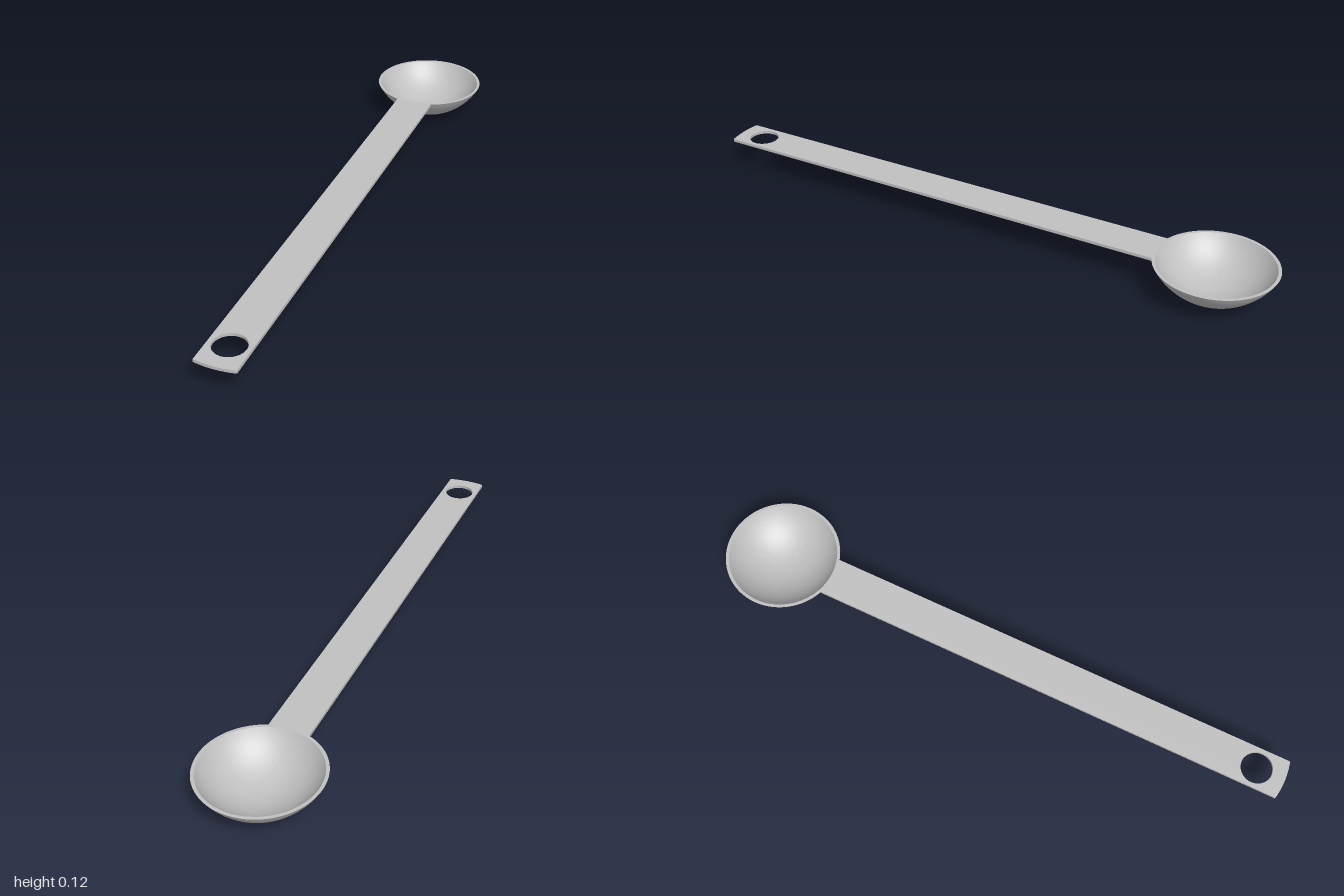
import * as THREE from 'three';
import { toCreasedNormals } from 'three/addons/utils/BufferGeometryUtils.js';

const RIM_Y = 0.115, RIM_R = 0.193, WALL = 0.009;
const BOWL_Z = -1 + RIM_R;
const SPHERE_R = (RIM_R ** 2 + RIM_Y ** 2) / (2 * RIM_Y); // spherical cap through the rim

// Profile of a spherical cap from the bottom up to rim height
function capProfile(radius, steps) {
  const end = Math.acos((SPHERE_R - RIM_Y) / radius);
  return Array.from({ length: steps + 1 }, (_, i) => {
    const a = (end * i) / steps;
    return new THREE.Vector2(radius * Math.sin(a), SPHERE_R - radius * Math.cos(a));
  });
}

export function createModel() {
  const group = new THREE.Group();
  group.name = 'measuringSpoon';
  const steel = new THREE.MeshStandardMaterial({ color: 0xc0c0c0 });
  steel.name = 'steelGrey';

  // Bowl: outer cap, flat rim, inner cap
  const profile = [...capProfile(SPHERE_R, 20), ...capProfile(SPHERE_R - WALL, 20).reverse()];
  const bowl = new THREE.Mesh(toCreasedNormals(new THREE.LatheGeometry(profile, 72), 0.6), steel);
  bowl.name = 'bowl';
  bowl.position.z = BOWL_Z;
  group.add(bowl);

  // Handle: flat strip fitted to the bowl wall, with a slightly rounded end and a hanging hole
  const half = 0.065, joinR = 0.186;
  const a = Math.asin(half / joinR);
  const joinZ = BOWL_Z + joinR * Math.cos(a);
  const strip = new THREE.Shape();
  strip.moveTo(half, joinZ);
  strip.lineTo(half, 0.993);
  strip.quadraticCurveTo(0, 1.007, -half, 0.993);
  strip.lineTo(-half, joinZ);
  strip.absarc(0, BOWL_Z, joinR, Math.PI / 2 + a, Math.PI / 2 - a, true);
  const hole = new THREE.Path();
  hole.absarc(0, 0.905, 0.051, 0, Math.PI * 2, true);
  strip.holes.push(hole);
  const handleGeo = new THREE.ExtrudeGeometry(strip, { depth: 0.01, bevelEnabled: false, curveSegments: 24 });
  handleGeo.rotateX(Math.PI / 2).translate(0, RIM_Y, 0);
  const handle = new THREE.Mesh(toCreasedNormals(handleGeo, 0.6), steel);
  handle.name = 'handle';
  group.add(handle);

  return group;
}
